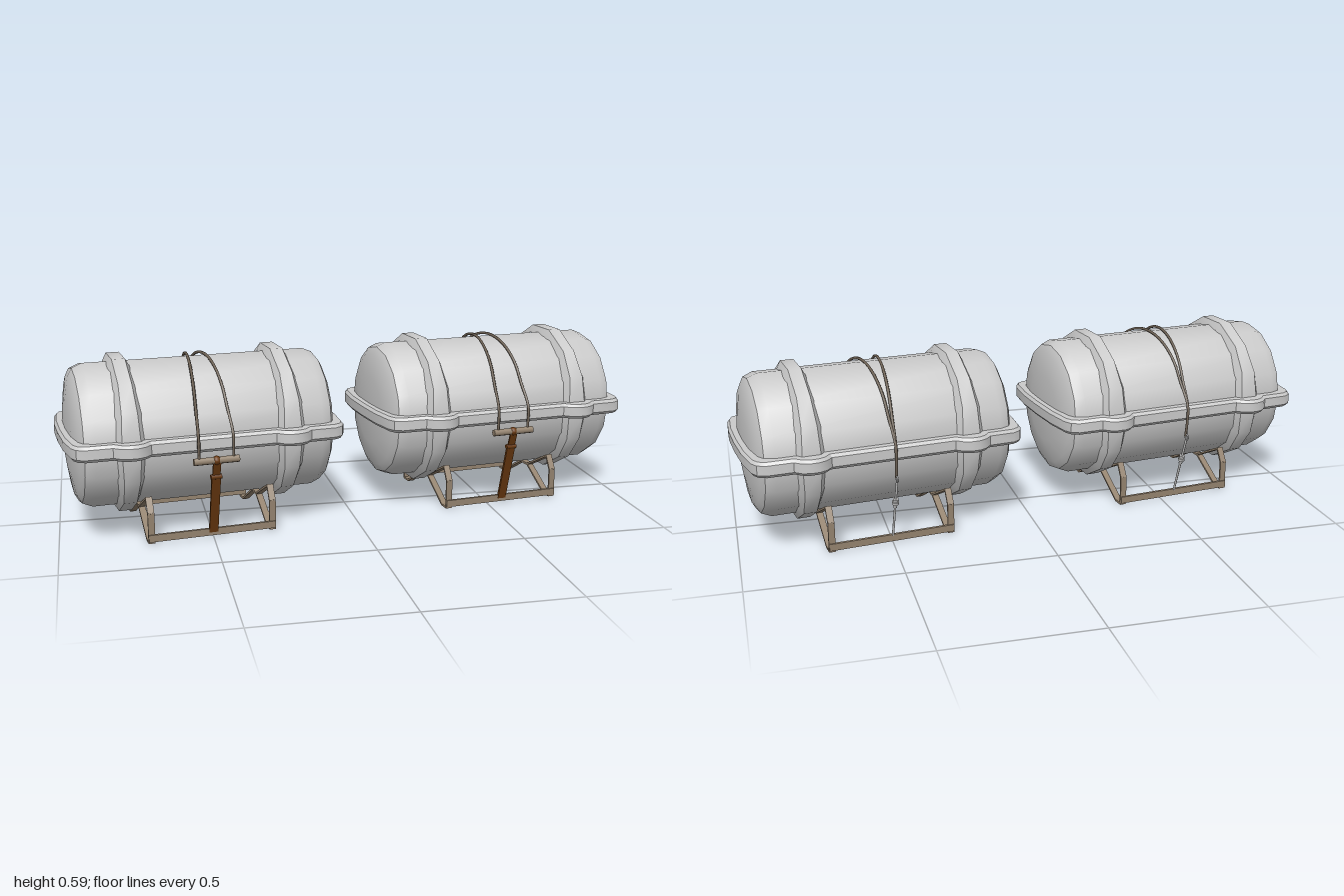
import * as THREE from 'three';
import { toCreasedNormals } from 'three/addons/utils/BufferGeometryUtils.js';

const CY = 0.338; // height of the barrel axis
const V = (x, y, z) => new THREE.Vector3(x, y, z);
const grey = new THREE.MeshStandardMaterial({ color: 0xcccccc });
const tan = new THREE.MeshStandardMaterial({ color: 0x94836f });
const cord = new THREE.MeshStandardMaterial({ color: 0x6e6255 });
const brown = new THREE.MeshStandardMaterial({ color: 0x6b3a10 });

function add(parent, name, geo, mat, x = 0, y = 0, z = 0) {
  const m = new THREE.Mesh(geo, mat);
  m.name = name;
  m.position.set(x, y, z);
  parent.add(m);
  return m;
}

// Flat bar between two points, w wide along x and t thick
function bar(parent, name, a, b, w, t, mat) {
  const m = add(parent, name, new THREE.BoxGeometry(w, t, a.distanceTo(b) + t * 0.6), mat);
  m.position.copy(a).add(b).multiplyScalar(0.5);
  m.lookAt(b);
  return m;
}

// Round rod between two points
function rod(parent, name, a, b, r, mat, r2 = r) {
  const m = add(parent, name, new THREE.CylinderGeometry(r2, r, a.distanceTo(b), 8), mat);
  m.position.copy(a).add(b).multiplyScalar(0.5);
  m.quaternion.setFromUnitVectors(V(0, 1, 0), b.clone().sub(a).normalize());
  return m;
}

// Barrel with shallow domed ends
function barrelGeometry() {
  const end = [[0, 0.44], [0.12, 0.435], [0.2, 0.422], [0.226, 0.408], [0.24, 0.375]];
  const pts = [...end.map(([r, x]) => [r, -x]), ...end.slice().reverse()];
  const g = new THREE.LatheGeometry(pts.map(([r, x]) => new THREE.Vector2(r, x)), 16);
  g.rotateZ(-Math.PI / 2);
  g.scale(1, 1, 0.965);
  return toCreasedNormals(g, 0.6);
}

// Seam flange outline, bulging out around each band
function flangeGeometry() {
  const q = [[0.465, 0], [0.462, 0.12], [0.45, 0.215], [0.437, 0.243], [0.41, 0.257],
    [0.325, 0.258], [0.305, 0.278], [0.28, 0.288], [0.25, 0.288], [0.225, 0.278], [0.205, 0.258]];
  const half = [...q, ...q.slice().reverse().map(([x, z]) => [-x, z])];
  const all = [...half, ...half.slice(1, -1).reverse().map(([x, z]) => [x, -z])];
  const s = new THREE.Shape(all.map(([x, z]) => new THREE.Vector2(x, z)));
  const g = new THREE.ExtrudeGeometry(s, {
    depth: 0.032, bevelThickness: 0.01, bevelSize: 0.008, bevelOffset: -0.008, bevelSegments: 1,
  });
  g.translate(0, 0, -0.016);
  g.rotateX(-Math.PI / 2);
  return toCreasedNormals(g, 0.6);
}

// Raised band: a trapezoid section swept round the barrel, wider near the seam
function bandGeometry() {
  const q = [[0.245, 0.025], [0.23, 0.115], [0.17, 0.197], [0.06, 0.257]];
  const top = [...q, ...q.slice().reverse().map(([z, y]) => [-z, y])];
  const ring = [...top, ...top.map(([z, y]) => [-z, -y])];
  const pos = [], idx = [], n = ring.length;
  ring.forEach(([z, y]) => {
    const w = 0.052 - 0.016 * Math.min(1, Math.abs(y) / 0.19);
    for (const [x, s] of [[-w, 0.9], [-w * 0.6, 1], [w * 0.6, 1], [w, 0.9]]) pos.push(x, y * s, z * s);
  });
  for (let i = 0; i < n; i++) {
    for (let k = 0; k < 3; k++) {
      const a = i * 4 + k, b = ((i + 1) % n) * 4 + k;
      idx.push(a, b + 1, b, a, a + 1, b + 1);
    }
  }
  const g = new THREE.BufferGeometry();
  g.setAttribute('position', new THREE.Float32BufferAttribute(pos, 3));
  g.setIndex(idx);
  // Turn faces outward if the ring runs the other way
  const [p, q1, r] = [idx[6], idx[7], idx[8]].map(i => V(...pos.slice(i * 3, i * 3 + 3)));
  const normal = q1.clone().sub(p).cross(r.clone().sub(p));
  if (normal.dot(V(0, p.y, p.z)) < 0) g.setIndex(idx.reverse());
  return toCreasedNormals(g, 0.6);
}

// Lashing cord from the rear ring over the barrel to the front toggle
function cordGeometry(xFront) {
  const path = [[-0.262, -0.08], [-0.268, -0.03], [-0.268, 0.03]];
  for (let d = 154; d >= 26; d -= 16) {
    const a = d * Math.PI / 180;
    path.push([Math.cos(a) * 0.242, Math.sin(a) * 0.246]);
  }
  path.push([0.268, 0.03], [0.268, -0.03], [0.268, -0.053]);
  const pts = path.map(([z, y]) => V(xFront * (z + 0.268) / 0.536, CY + y, z));
  return new THREE.TubeGeometry(new THREE.CatmullRomCurve3(pts, false, 'centripetal'), 60, 0.005, 6);
}

function makeCradle() {
  const g = new THREE.Group();
  g.name = 'cradle';
  const loop = [[0.03, 0.082], [0.165, 0.15], [0.192, 0.105], [0.192, 0.006], [0.155, 0.006], [0.03, 0.076]];
  for (const x of [-0.205, 0.205]) {
    for (const s of [-1, 1]) {
      for (let i = 0; i < loop.length - 1; i++) {
        const [a, b] = [loop[i], loop[i + 1]].map(([z, y]) => V(x, y, z * s));
        bar(g, 'cradleStrut', a, b, 0.022, 0.007, tan);
      }
    }
    bar(g, 'cradleSaddle', V(x, 0.079, -0.03), V(x, 0.079, 0.03), 0.022, 0.008, tan);
  }
  for (const z of [-0.195, 0.195]) {
    add(g, 'baseRail', new THREE.BoxGeometry(0.43, 0.024, 0.01), tan, 0, 0.021, z);
  }
  return g;
}

function makeLashing() {
  const g = new THREE.Group();
  g.name = 'lashing';
  for (const x of [-0.057, 0.057]) add(g, 'cord', cordGeometry(x), cord);

  // Front toggle and strap
  rod(g, 'toggleBar', V(-0.075, 0.286, 0.268), V(0.075, 0.286, 0.268), 0.012, tan);
  add(g, 'toggleKnuckle', new THREE.SphereGeometry(0.015, 10, 8), brown, 0, 0.286, 0.268);
  bar(g, 'upperStrap', V(0, 0.286, 0.276), V(0, 0.228, 0.256), 0.026, 0.006, brown);
  rod(g, 'strapPin', V(-0.018, 0.228, 0.256), V(0.018, 0.228, 0.256), 0.009, brown);
  bar(g, 'lowerStrap', V(0, 0.228, 0.256), V(0, 0.024, 0.198), 0.03, 0.009, brown);

  // Rear ring, turnbuckle and stay
  const top = V(0, 0.255, -0.27), foot = V(0, 0.024, -0.195);
  const at = t => top.clone().lerp(foot, t);
  const ring = add(g, 'rearRing', new THREE.TorusGeometry(0.009, 0.003, 6, 12), grey);
  ring.position.copy(top);
  ring.rotation.y = Math.PI / 2;
  rod(g, 'rearStay', top, foot, 0.004, grey);
  rod(g, 'turnbuckle', at(0.33), at(0.48), 0.01, grey, 0.006);
  rod(g, 'turnbuckleCollar', at(0.38), at(0.42), 0.012, grey);
  return g;
}

function makeCanister() {
  const g = new THREE.Group();
  g.name = 'canister';
  add(g, 'barrel', barrelGeometry(), grey, 0, CY);
  add(g, 'seamFlange', flangeGeometry(), grey, 0, CY);
  for (const x of [-0.265, 0.265]) add(g, 'raisedBand', bandGeometry(), grey, x, CY);
  g.add(makeCradle(), makeLashing());
  return g;
}

export function createModel() {
  const model = new THREE.Group();
  model.name = 'canisterPair';
  // Two canisters end to end on a slightly turned line
  for (const s of [-1, 1]) {
    const c = makeCanister();
    c.position.set(0.526 * s, 0, -0.068 * s);
    c.rotation.y = 0.13;
    model.add(c);
  }
  return model;
}
